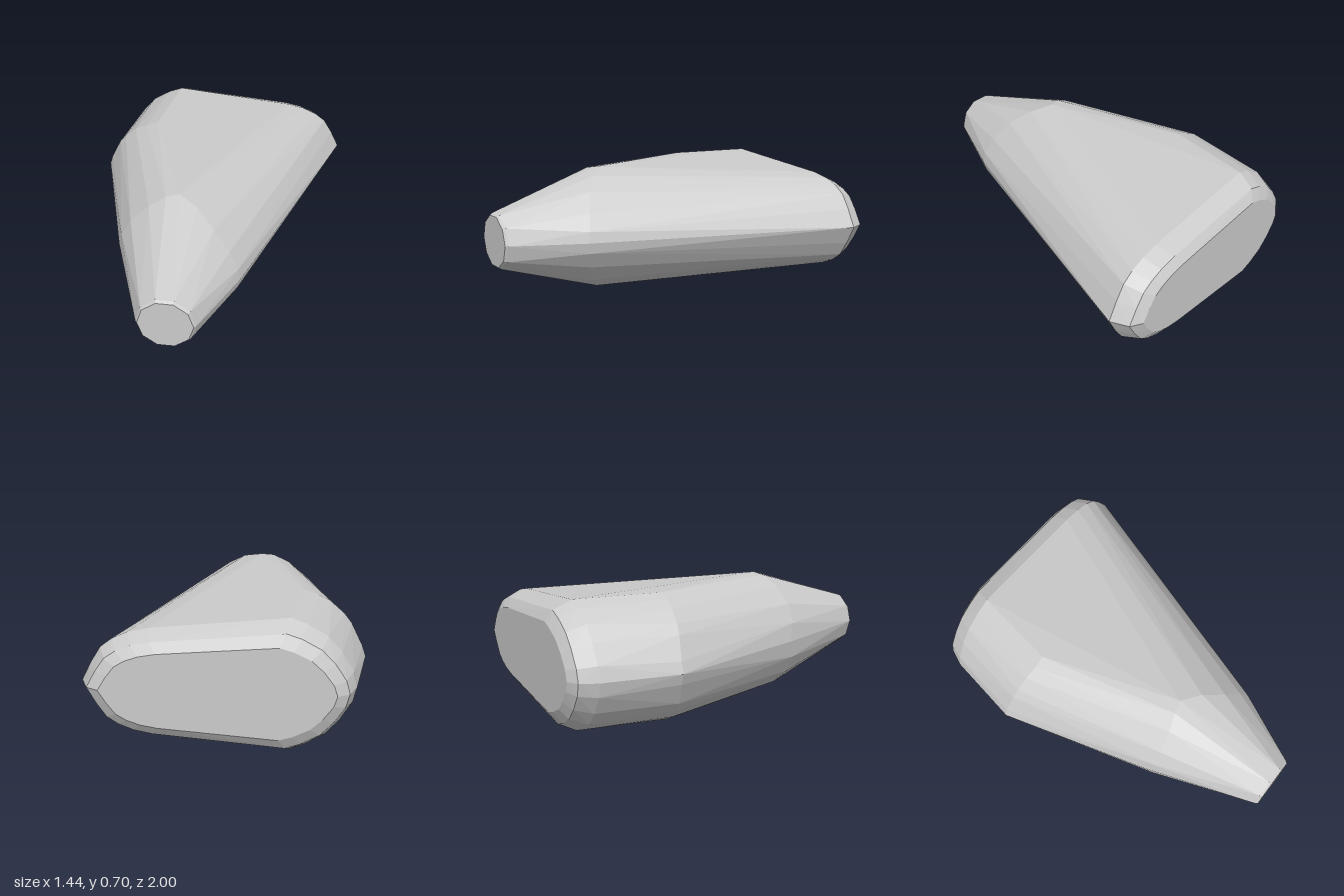
import * as THREE from 'three';
import { ConvexGeometry } from 'three/addons/geometries/ConvexGeometry.js';

const MID = 0.35; // height of the horizontal symmetry plane

export function createModel() {
  const points = [];
  const add = (x, y, z) => points.push(new THREE.Vector3(x, y, z));
  // adds an upper half-section and its mirror below the symmetry plane
  const addSection = (section) => section.forEach(([x, y, z]) => {
    add(x, y, z);
    if (y > MID) add(x, 2 * MID - y, z);
  });

  // blunt ten-sided nose with a tiny chamfer
  for (const [r, z] of [[0.156, 0.985], [0.145, 1]]) {
    for (let i = 0; i < 10; i++) {
      const a = (i / 10) * Math.PI * 2;
      add(-0.1 + r * Math.cos(a), MID + r * Math.sin(a), z);
    }
  }

  // slanted shoulder where the nose widens into the body
  addSection([
    [-0.475, 0.35, 0.38], [-0.45, 0.45, 0.41], [-0.39, 0.55, 0.42], [-0.29, 0.64, 0.4],
    [-0.2, 0.69, 0.37], [-0.13, 0.7, 0.35], [-0.02, 0.67, 0.42], [0.08, 0.6, 0.51],
    [0.17, 0.5, 0.56], [0.22, 0.41, 0.59], [0.23, 0.35, 0.6],
  ]);

  // side bulge
  addSection([
    [-0.72, 0.35, -0.45], [-0.7, 0.41, -0.45], [-0.64, 0.53, -0.43], [-0.6, 0.58, -0.42],
    [-0.53, 0.64, -0.41], [-0.46, 0.675, -0.4], [-0.39, 0.7, -0.4],
  ]);

  // rear section, repeated smaller twice to round off the back edge
  const rear = [
    [-0.65, 0.35], [-0.63, 0.43], [-0.57, 0.53], [-0.5, 0.61], [-0.4, 0.67], [-0.32, 0.7],
    [0.38, 0.632], [0.48, 0.61], [0.56, 0.575], [0.62, 0.53], [0.67, 0.45], [0.72, 0.35],
  ];
  for (const [z, sx, sy] of [[-0.87, 1, 1], [-0.965, 0.94, 0.86], [-1, 0.85, 0.69]]) {
    addSection(rear.map(([x, y]) => [0.03 + (x - 0.03) * sx, MID + (y - MID) * sy, z]));
  }

  const body = new THREE.Mesh(
    new ConvexGeometry(points),
    new THREE.MeshStandardMaterial({ color: 0xcccccc, flatShading: true }),
  );
  body.name = 'taperedBody';

  const group = new THREE.Group();
  group.name = 'taperedWedge';
  group.add(body);
  return group;
}
